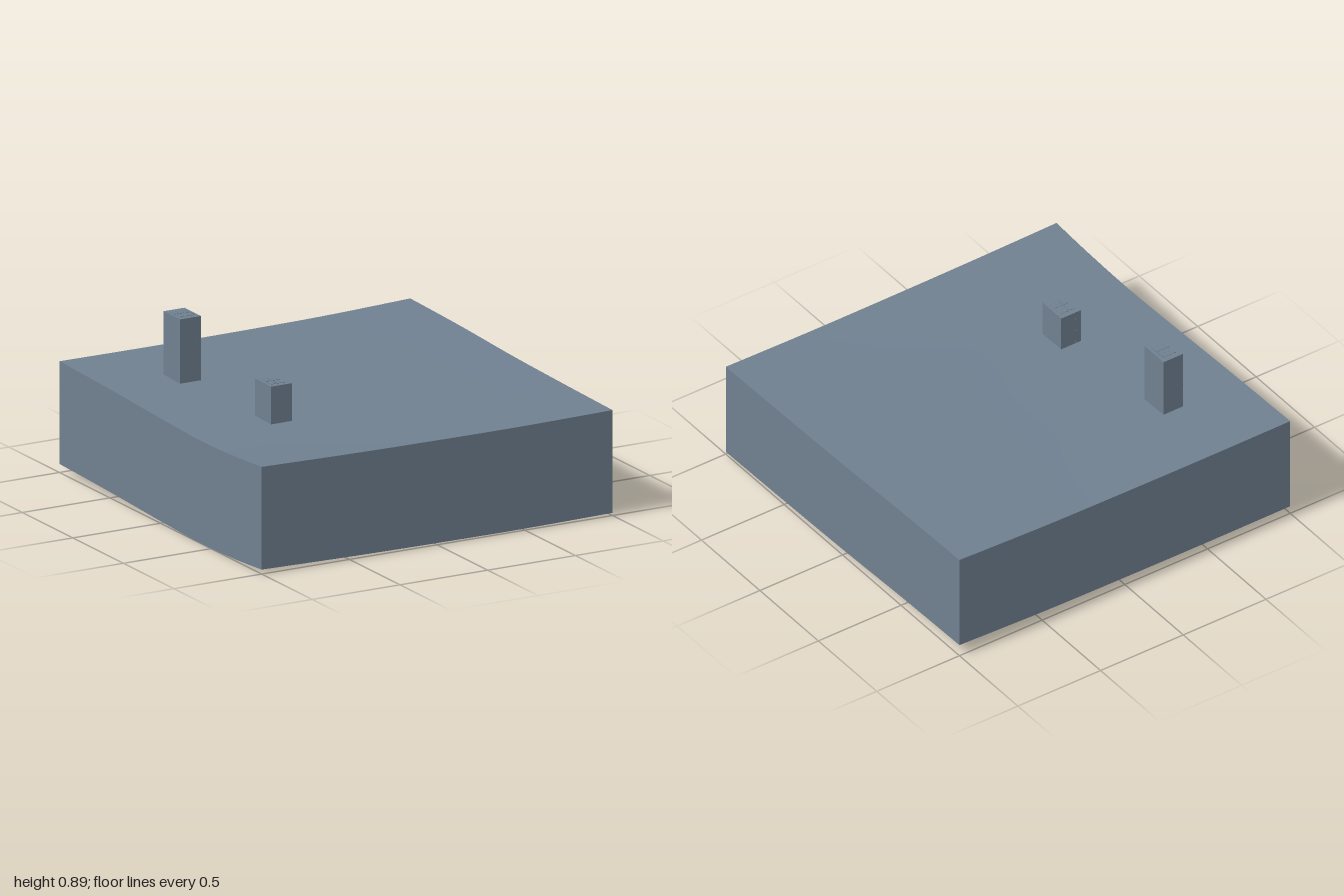
import * as THREE from 'three';

const slate = new THREE.MeshStandardMaterial({ color: 0x708090, side: THREE.DoubleSide });
slate.name = 'slate';

const SKIRT = 0.53; // depth of the side walls
const SEG = 32;

// Smooth height curve through [position, height] points
function edge(points) {
  const curve = new THREE.SplineCurve(points.map(([t, h]) => new THREE.Vector2(t, h)));
  const pts = curve.getPoints(200);
  return (t) => {
    let i = 1;
    while (i < pts.length - 1 && pts[i].x < t) i++;
    const a = pts[i - 1], b = pts[i];
    return a.y + (b.y - a.y) * (t - a.x) / (b.x - a.x);
  };
}

// Heights along the four borders of the tile
const front = edge([[-1, 0.555], [-0.5, 0.546], [0, 0.541], [0.5, 0.54], [1, 0.546]]);
const back = edge([[-1, 0.576], [-0.5, 0.574], [0, 0.576], [0.5, 0.582], [1, 0.598]]);
const right = edge([[-1, 0.576], [-0.5, 0.562], [0, 0.543], [0.4, 0.532], [0.75, 0.54], [1, 0.555]]);
const left = edge([[-1, 0.598], [-0.5, 0.586], [0, 0.567], [0.5, 0.555], [1, 0.546]]);

// Ground height blended from the four borders
function ground(x, z) {
  const u = (x + 1) / 2, v = (z + 1) / 2;
  const across = right(z) * (1 - u) + left(z) * u;
  const along = back(x) * (1 - v) + front(x) * v;
  const corners = (1 - v) * (back(-1) * (1 - u) + back(1) * u)
    + v * (front(-1) * (1 - u) + front(1) * u);
  return across + along - corners;
}

function add(parent, geometry, name) {
  const mesh = new THREE.Mesh(geometry, slate);
  mesh.name = name;
  parent.add(mesh);
  return mesh;
}

// Gently rolling top surface
function terrainTop() {
  const g = new THREE.PlaneGeometry(2, 2, SEG, SEG).rotateX(-Math.PI / 2);
  const p = g.attributes.position;
  for (let i = 0; i < p.count; i++) p.setY(i, ground(p.getX(i), p.getZ(i)));
  g.computeVertexNormals();
  return g;
}

// Side wall whose upper and lower rims follow the ground
function sideWall(angle) {
  const g = new THREE.PlaneGeometry(2, 1, SEG, 1).translate(0, 0, 1).rotateY(angle);
  const p = g.attributes.position;
  for (let i = 0; i < p.count; i++) {
    const x = THREE.MathUtils.clamp(p.getX(i), -1, 1);
    const z = THREE.MathUtils.clamp(p.getZ(i), -1, 1);
    p.setXYZ(i, x, ground(x, z) - (p.getY(i) < 0 ? SKIRT : 0), z);
  }
  g.computeVertexNormals();
  return g;
}

// Block tower with small windows and a panelled roof
function tower(name, x, z, w, d, top, ridgeX) {
  const group = new THREE.Group();
  group.name = name;
  const base = ground(x, z) - 0.01;
  const h = top - base;
  add(group, new THREE.BoxGeometry(w, h, d), 'towerBlock').position.set(x, base + h / 2, z);

  // Roof panels and the narrow roof ridge
  for (let i = -1; i <= 1; i++) for (const j of [-1, 1]) {
    add(group, new THREE.BoxGeometry(w * 0.2, 0.002, d * 0.28), 'roofPanel')
      .position.set(x + i * w * 0.25, top + 0.001, z + j * d * 0.17);
  }
  add(group, new THREE.BoxGeometry(0.004, 0.006, 0.08), 'roofRidge')
    .position.set(ridgeX, top + 0.003, z);

  // Tiny windows on all four sides
  const rows = Math.round(h / 0.08);
  for (let r = 0; r < rows; r++) {
    const y = top - 0.04 - r * 0.07;
    for (const c of [-1, 1]) for (const s of [-1, 1]) {
      add(group, new THREE.BoxGeometry(0.008, 0.01, 0.001), 'window')
        .position.set(x + c * w * 0.25, y, z + s * d / 2);
      add(group, new THREE.BoxGeometry(0.001, 0.01, 0.008), 'window')
        .position.set(x + s * w / 2, y, z + c * d * 0.25);
    }
  }
  return group;
}

export function createModel() {
  const model = new THREE.Group();
  model.name = 'terrainTile';
  add(model, terrainTop(), 'terrainTop');
  ['frontWall', 'leftWall', 'backWall', 'rightWall'].forEach((name, i) => {
    add(model, sideWall(i * Math.PI / 2), name);
  });
  model.add(tower('tallTower', -0.587, -0.502, 0.118, 0.162, 0.89, -0.549));
  model.add(tower('shortTower', -0.501, 0.25, 0.118, 0.16, 0.727, -0.51));
  return model;
}
